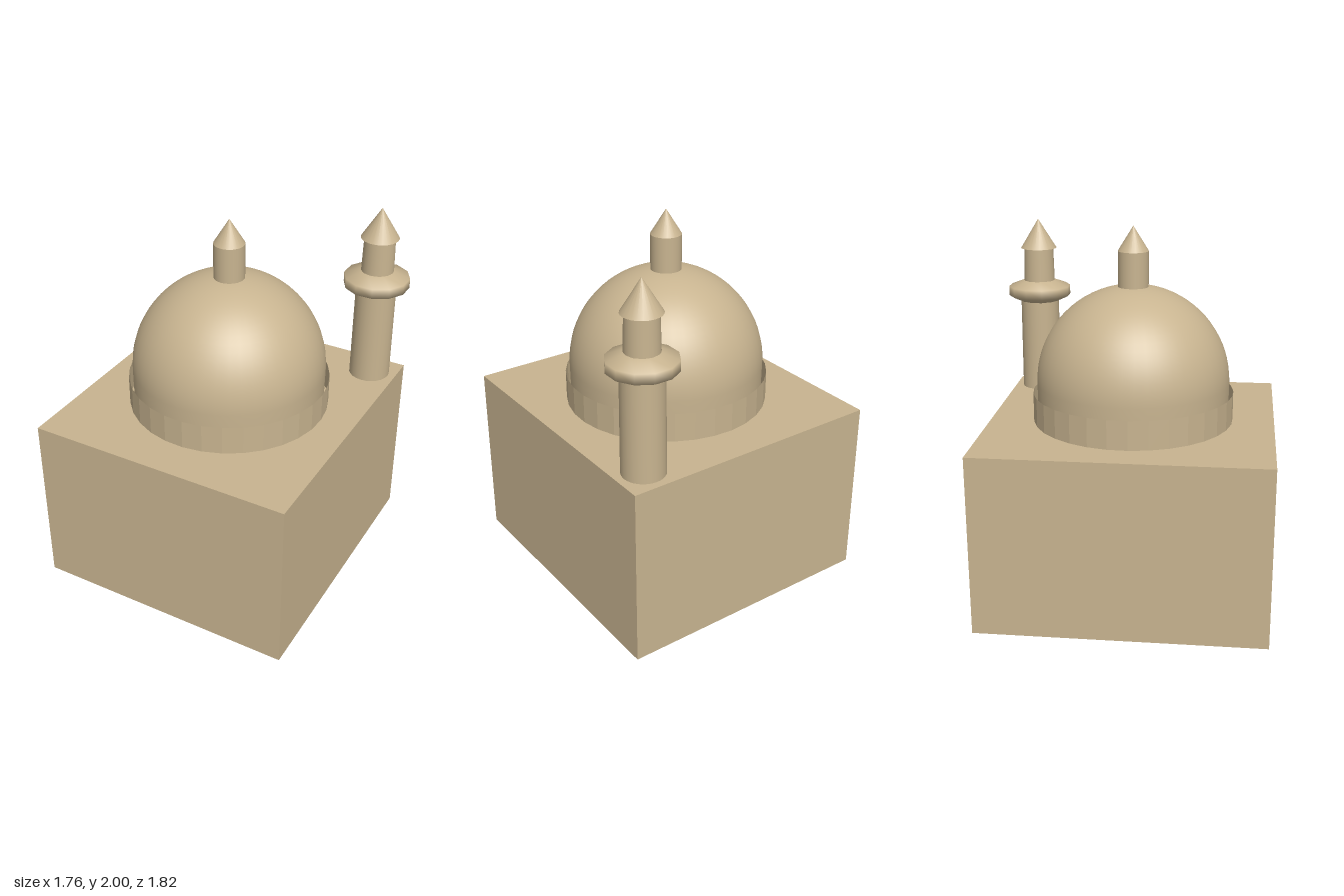
import * as THREE from 'three';

export function createModel() {
  const model = new THREE.Group();
  const sandstone = new THREE.MeshStandardMaterial({ color: 0xc8b490, side: THREE.DoubleSide });
  sandstone.name = 'sandstone';

  const add = (name, geometry, parent = model) => {
    const mesh = new THREE.Mesh(geometry, sandstone);
    mesh.name = name;
    parent.add(mesh);
    return mesh;
  };
  // Surface of revolution from [radius, height] pairs, bottom to top
  const turned = (points, sides) =>
    new THREE.LatheGeometry(points.map(([r, y]) => new THREE.Vector2(r, y)), sides);

  // Hall: turned box, open underneath
  const hallShape = new THREE.BoxGeometry(1.433, 0.965, 1.52);
  hallShape.setIndex([...hallShape.index.array].filter((_, i) => i < 18 || i >= 24));
  hallShape.clearGroups();
  const hall = add('hall', hallShape);
  hall.position.y = 0.4825;
  hall.rotation.y = -0.247;

  // Drum: faceted open ring around the dome foot
  const drumShape = new THREE.CylinderGeometry(0.538, 0.538, 0.155, 32, 1, true).toNonIndexed();
  drumShape.computeVertexNormals();
  add('drum', drumShape).position.y = 1.0425;

  // Dome: hemisphere on a short upright foot
  const domeProfile = [[0.512, 0.97], [0.514, 1.1]];
  for (let i = 0; i <= 20; i++) {
    const a = (i / 20) * Math.PI / 2;
    domeProfile.push([0.515 * Math.cos(a), 1.175 + 0.515 * Math.sin(a)]);
  }
  add('dome', turned(domeProfile, 48));

  // Finial on the dome
  const finial = new THREE.Group();
  finial.name = 'finial';
  model.add(finial);
  add('finialPost', turned([[0.081, 1.66], [0.081, 1.87]], 24), finial);
  add('finialPoint', turned([[0.081, 1.87], [0, 2]], 24), finial);

  // Minaret: hollow shaft running to the ground inside the hall
  const minaret = new THREE.Group();
  minaret.name = 'minaret';
  minaret.position.set(0.697, 0, -0.452);
  model.add(minaret);
  add('minaretShaft', turned([[0.117, 0], [0.109, 1.485]], 24), minaret);
  add('balcony', turned([[0.109, 1.48], [0.177, 1.512], [0.177, 1.565], [0.086, 1.6]], 12), minaret);
  add('upperShaft', turned([[0.088, 1.59], [0.083, 1.79]], 24), minaret);
  add('minaretEave', turned([[0.083, 1.785], [0.102, 1.785]], 24), minaret);
  add('minaretSpire', turned([[0.102, 1.785], [0, 1.95]], 24), minaret);

  return model;
}
